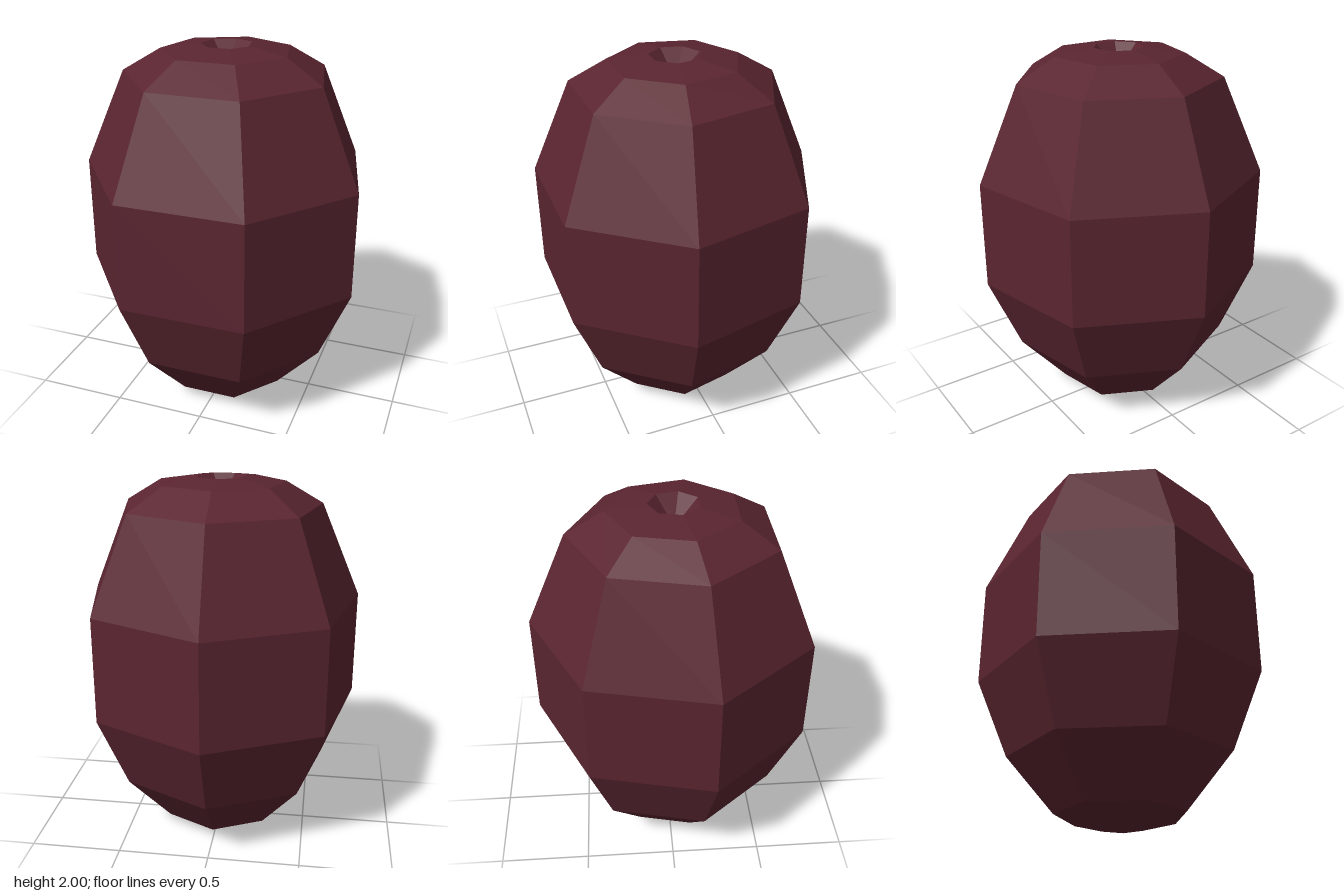
import * as THREE from 'three';

export function createModel() {
  const group = new THREE.Group();
  group.name = 'berry';

  const skin = new THREE.MeshStandardMaterial({ color: 0x5a2530, flatShading: true });
  skin.name = 'dark berry red';

  // Profile from the flat base, over the belly, into the small stem dimple
  const profile = [
    [0, 0], [0.135, 0], [0.347, 0.06], [0.6, 0.35], [0.772, 0.76],
    [0.772, 1.34], [0.55, 1.85], [0.347, 1.97], [0.135, 2],
    [0.04, 1.91], [0, 1.9],
  ].map(([r, y]) => new THREE.Vector2(r, y));

  // Seven-sided body with one corner at the back and a flat face in front
  const body = new THREE.Mesh(new THREE.LatheGeometry(profile, 7, Math.PI), skin);
  body.name = 'berryBody';
  body.position.z = 0.035;
  group.add(body);

  return group;
}
